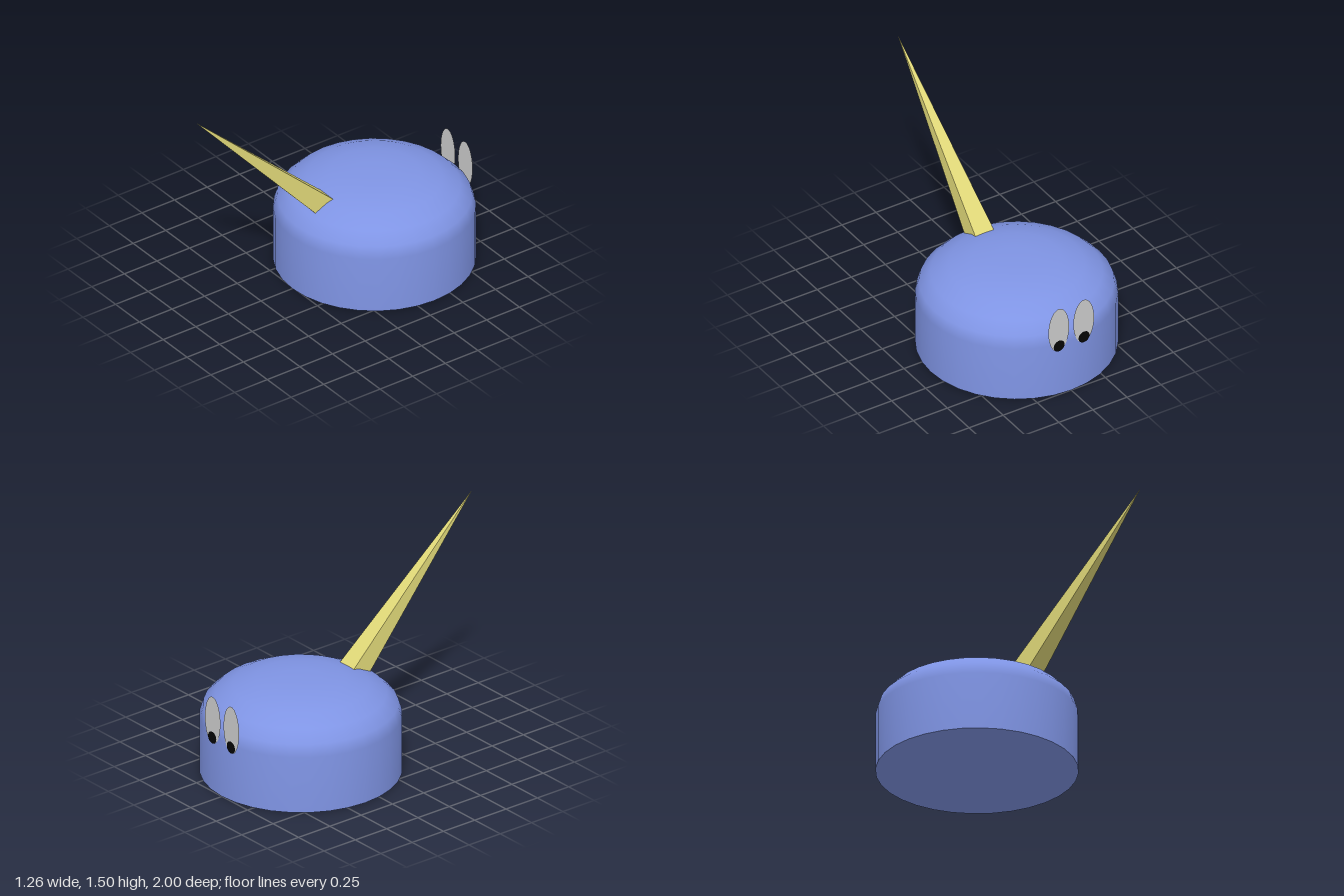
import * as THREE from 'three';

const blue = new THREE.MeshStandardMaterial({ color: 0x7f94e4 });
blue.name = 'body blue';
const yellow = new THREE.MeshStandardMaterial({ color: 0xe0d878, flatShading: true });
yellow.name = 'horn yellow';
const grey = new THREE.MeshStandardMaterial({ color: 0xcccccc, side: THREE.DoubleSide });
grey.name = 'eye white';
const black = new THREE.MeshStandardMaterial({ color: 0x050505, side: THREE.DoubleSide });
black.name = 'pupil black';

const R = 0.63, BODY_Z = -0.37, SEGMENTS = 32;

function add(parent, name, geometry, material, x = 0, y = 0, z = 0) {
  const mesh = new THREE.Mesh(geometry, material);
  mesh.name = name;
  mesh.position.set(x, y, z);
  parent.add(mesh);
  return mesh;
}

export function createModel() {
  const model = new THREE.Group();

  // Body: straight wall, then a five-step rounded shoulder to a small flat top
  const profile = [new THREE.Vector2(R, 0)];
  for (let i = 0; i <= 5; i++) {
    const a = (i / 5) * Math.PI / 2;
    profile.push(new THREE.Vector2(0.126 + 0.504 * Math.cos(a), 0.378 + 0.252 * Math.sin(a)));
  }
  profile.push(new THREE.Vector2(0, R));
  add(model, 'body', new THREE.LatheGeometry(profile, SEGMENTS), blue, 0, 0, BODY_Z);
  const base = new THREE.CircleGeometry(R, SEGMENTS).rotateX(Math.PI / 2);
  add(model, 'bodyBase', base, blue, 0, 0, BODY_Z);

  // Horn: slim square pyramid leaning forward at 45 degrees, foot sunk in the body
  const horn = new THREE.ConeGeometry(0.0713 * Math.SQRT2, Math.SQRT2, 4)
    .rotateY(Math.PI / 4).rotateX(Math.PI / 4);
  add(model, 'horn', horn, yellow, 0, 1, 0.5);

  // Eyes: flat upright ovals on the back, pupils near their lower ends
  for (const side of [-1, 1]) {
    const eye = new THREE.Group();
    eye.name = side > 0 ? 'leftEye' : 'rightEye';
    eye.position.set(side * 0.0915, 0.49, -1);
    const oval = new THREE.CircleGeometry(1, 32).scale(0.076, 0.16, 1).rotateY(Math.PI);
    add(eye, 'eyeWhite', oval, grey);
    const dot = new THREE.CircleGeometry(0.04, 24).rotateY(Math.PI);
    add(eye, 'pupil', dot, black, 0, -0.118, -0.004);
    model.add(eye);
  }
  return model;
}
